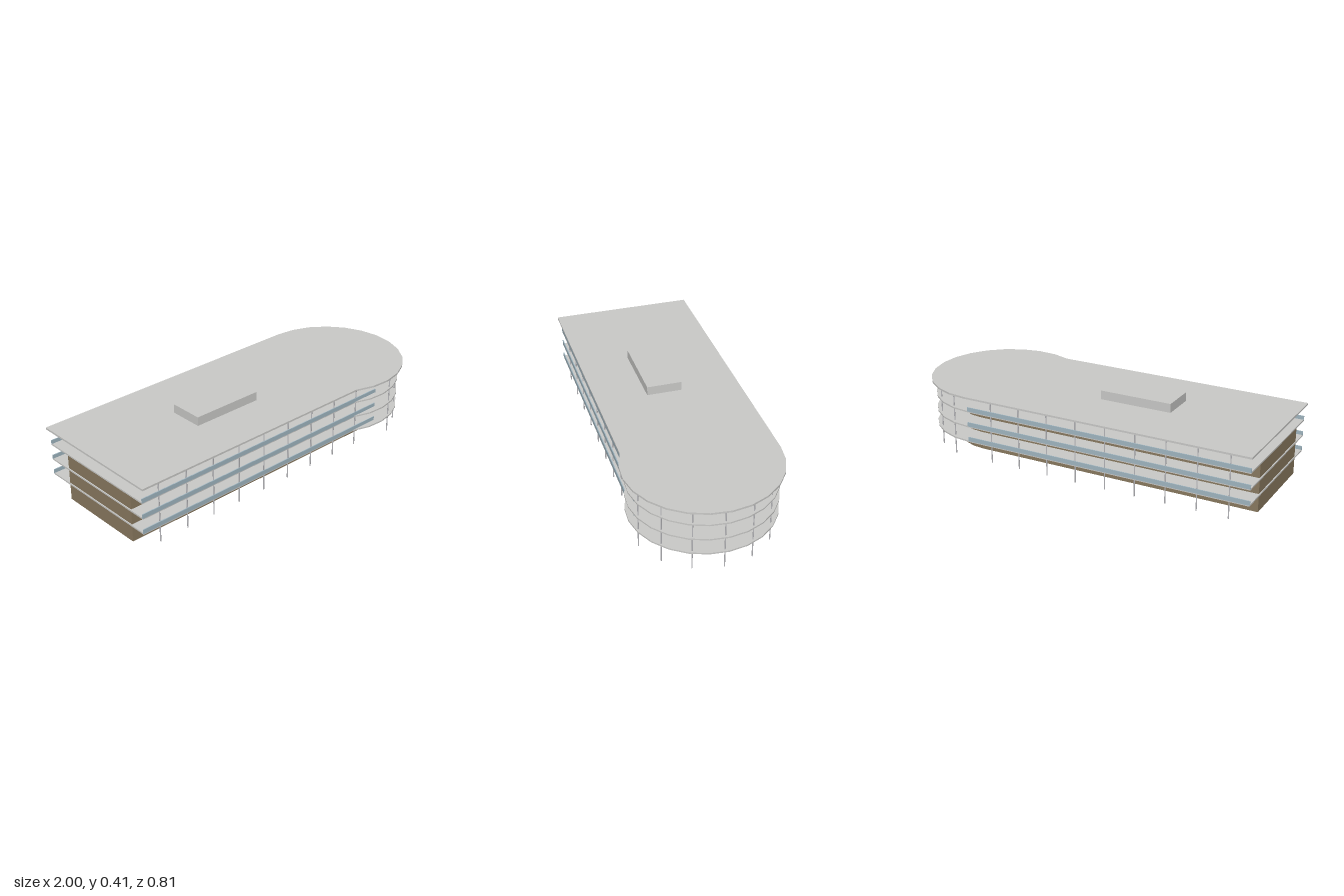
import * as THREE from 'three';

const CX = 0.597; // centre of the rounded end

export function createModel() {
  const model = new THREE.Group();
  model.name = 'terracedBuilding';

  const material = (name, color) => {
    const m = new THREE.MeshStandardMaterial({ color });
    m.name = name;
    return m;
  };
  const concrete = material('lightConcrete', 0xcacac8);
  const brown = material('brownWall', 0x8a7a60);
  const glass = material('paleBlueRailing', 0xa0b6c1);
  const steel = material('steelPost', 0xbcbcc0);

  const add = (name, geometry, mat, x = 0, y = 0, z = 0, parent = model) => {
    const mesh = new THREE.Mesh(geometry, mat);
    mesh.name = name;
    mesh.position.set(x, y, z);
    parent.add(mesh);
    return mesh;
  };

  // Box given by its limits on each axis
  const addBox = (name, mat, [x0, x1], [y0, y1], [z0, z1], parent = model) =>
    add(name, new THREE.BoxGeometry(x1 - x0, y1 - y0, z1 - z0), mat,
      (x0 + x1) / 2, (y0 + y1) / 2, (z0 + z1) / 2, parent);

  // Plate with a straight left end and a faceted round right end
  const roundEnded = (left, radius, front, height, steps) => {
    const start = -(Math.PI - Math.asin(front / radius));
    const points = [new THREE.Vector2(left, radius), new THREE.Vector2(left, -front)];
    if (front === radius) points.push(new THREE.Vector2(CX, -front));
    for (let i = front === radius ? 1 : 0; i <= steps; i++) {
      const a = start + (Math.PI / 2 - start) * i / steps;
      points.push(new THREE.Vector2(CX + radius * Math.cos(a), radius * Math.sin(a)));
    }
    const g = new THREE.ExtrudeGeometry(new THREE.Shape(points), { depth: height, bevelEnabled: false });
    return g.rotateX(-Math.PI / 2);
  };

  // Enclosed core, upper storey and roof
  add('coreWalls', roundEnded(-0.985, 0.25, 0.25, 0.26, 12), brown, 0, 0.008);
  addBox('upperStorey', brown, [-0.675, 0.197], [0.27, 0.352], [-0.108, 0.113]);
  add('roof', roundEnded(-1, 0.404, 0.365, 0.01, 14), concrete, 0, 0.35);
  addBox('roofBox', concrete, [-0.438, -0.042], [0.36, 0.408], [-0.092, 0.094]);

  // Terrace slabs with thin railings on the straight sides
  [0.097, 0.181, 0.266].forEach((y, i) => {
    const floor = new THREE.Group();
    floor.name = `terrace${i + 1}`;
    model.add(floor);
    add('terraceSlab', roundEnded(-0.99, 0.381, 0.345, 0.008, 14), concrete, 0, y, 0, floor);
    for (const [name, z] of [['frontRailing', 0.343], ['backRailing', -0.379]]) {
      addBox(name, glass, [-0.991, 0.597], [y + 0.005, y + 0.028], [z - 0.0025, z + 0.0025], floor);
    }
  });

  // Slender posts along both sides and around the curve
  const posts = new THREE.Group();
  posts.name = 'posts';
  model.add(posts);
  const postGeometry = new THREE.CylinderGeometry(0.0032, 0.0032, 0.352, 8);
  const addPost = (x, z) => add('post', postGeometry, steel, x, 0.176, z, posts);
  for (let i = 0; i < 9; i++) {
    const x = -0.88 + i * 0.1677;
    addPost(x, 0.328);
    addPost(x, -0.364);
  }
  for (let i = -3; i <= 3; i++) {
    const a = THREE.MathUtils.degToRad(i * 24.4);
    addPost(CX + 0.365 * Math.cos(a), 0.365 * Math.sin(a) + 0.003);
  }

  return model;
}
